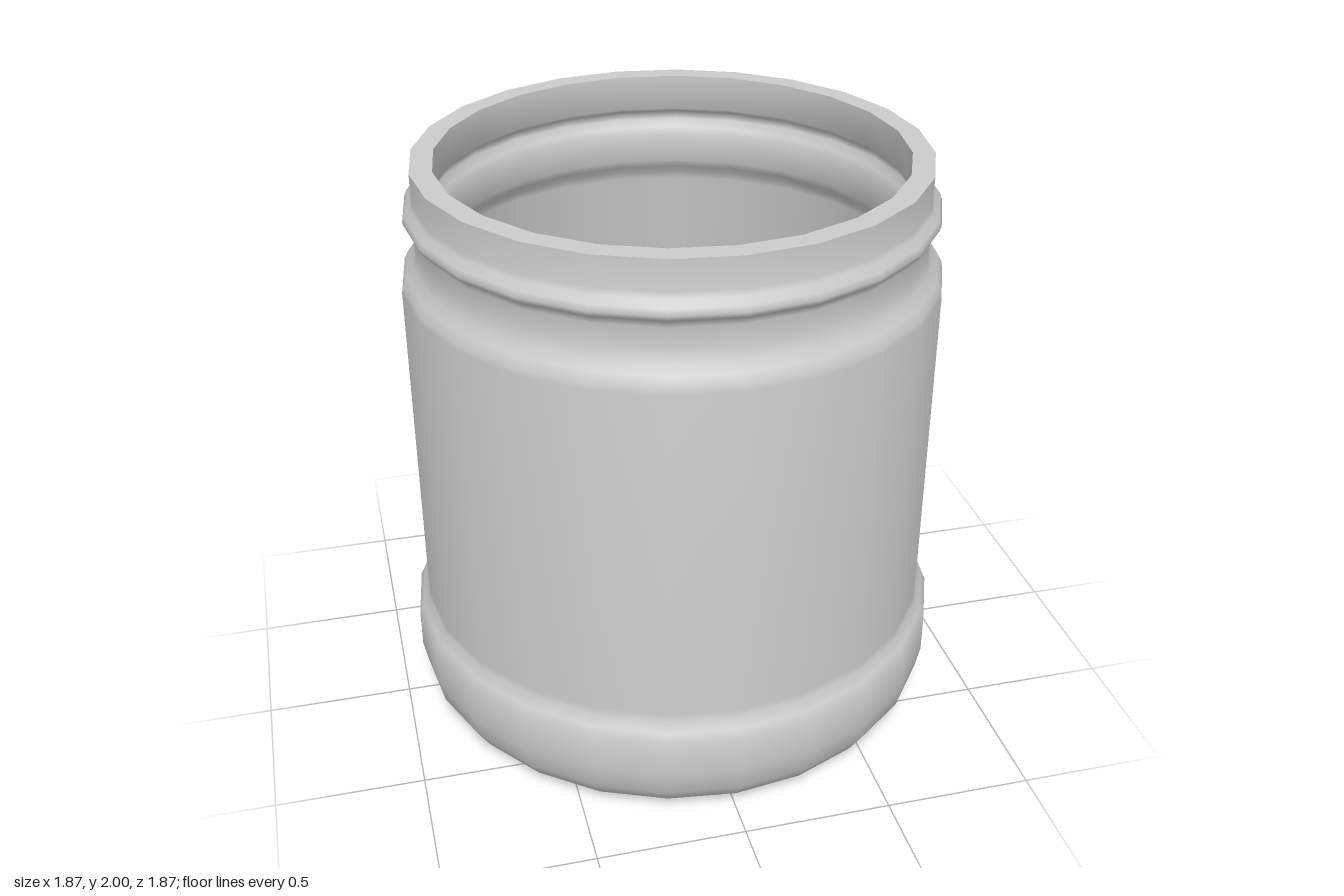
import * as THREE from 'three';
import { toCreasedNormals } from 'three/addons/utils/BufferGeometryUtils.js';

const SIDES = 24;

// Outside, from the centre of the base up to the rim: [radius, height]
const OUTSIDE = [
  [0, 0], [0.72, 0], [0.75, 0.003], [0.82, 0.02], [0.88, 0.06], [0.918, 0.12], [0.934, 0.2],
  [0.934, 0.34], [0.918, 0.37], [0.895, 0.4], [0.893, 0.43],      // swollen foot
  [0.893, 1.6], [0.89, 1.62], [0.874, 1.65], [0.85, 1.68], [0.84, 1.72], // wall and shoulder
  [0.84, 1.79], [0.846, 1.81], [0.866, 1.823], [0.873, 1.84],     // neck and bead
  [0.866, 1.86], [0.846, 1.88], [0.84, 1.9], [0.84, 2],           // lip
];

// Inside, from the rim down to the centre of the floor
const INSIDE = [
  [0.767, 2], [0.767, 1.88], [0.78, 1.865], [0.8, 1.85], [0.8, 1.83], [0.78, 1.805],
  [0.768, 1.78], [0.768, 1.68], [0.785, 1.65], [0.81, 1.62], [0.82, 1.59],
  [0.82, 0.43], [0.83, 0.4], [0.86, 0.34], [0.86, 0.2], [0.845, 0.14], [0.815, 0.095],
  [0.78, 0.073], [0.75, 0.07], [0, 0.07],
];

export function createModel() {
  const group = new THREE.Group();
  group.name = 'jar';

  // One closed shell: smooth all over, sharp only at the two rim edges
  const profile = [...OUTSIDE, ...INSIDE].map(([r, y]) => new THREE.Vector2(r, y));
  const geometry = toCreasedNormals(new THREE.LatheGeometry(profile, SIDES), 1.15);
  const jar = new THREE.Mesh(geometry, new THREE.MeshStandardMaterial({ color: 0xcccccc }));
  jar.name = 'jarBody';
  group.add(jar);

  return group;
}
